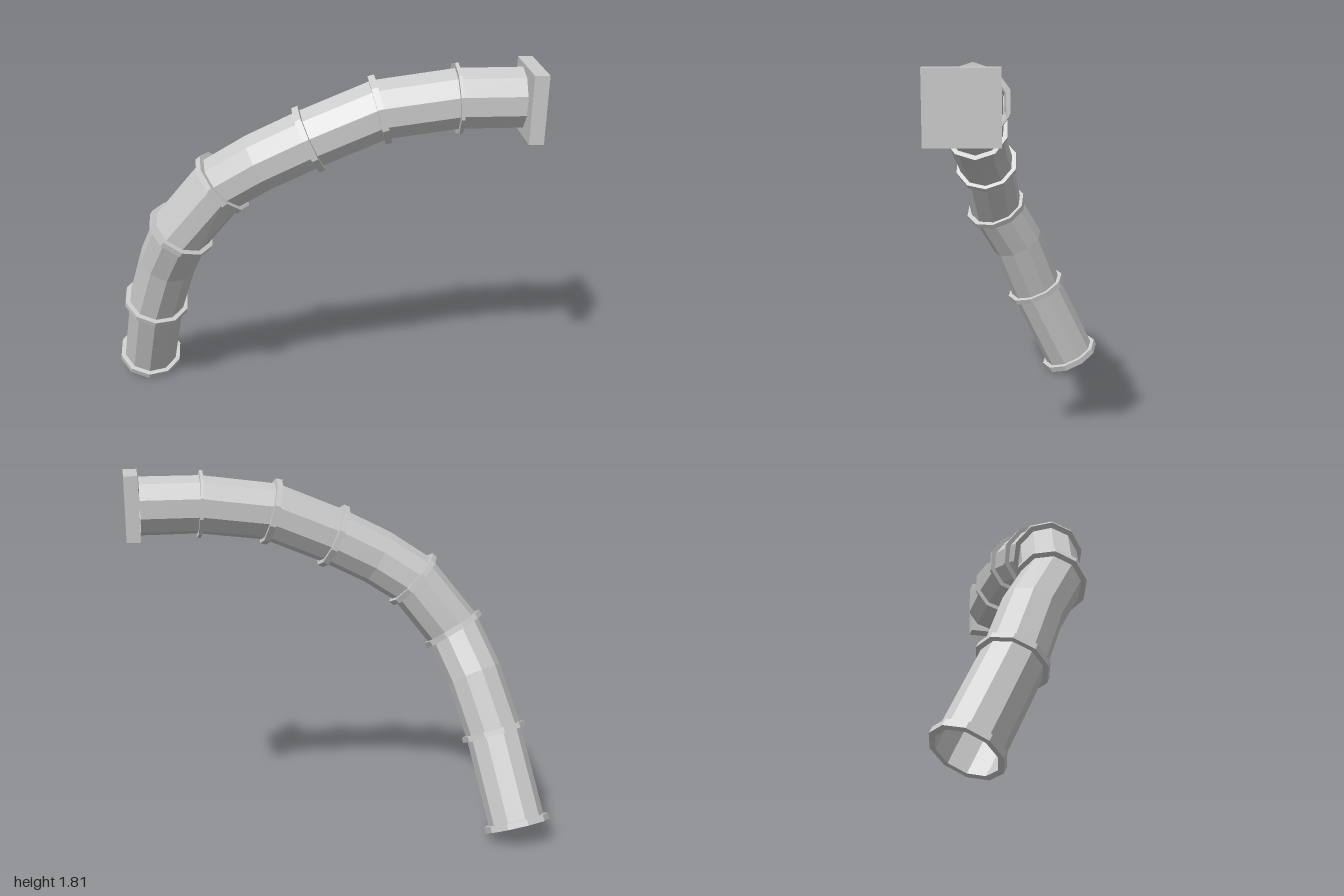
import * as THREE from 'three';

const SIDES = 10;
const PIPE_R = 0.14;

// Path from the mounting plate down to the open mouth: x, y, z, collar thickness (0 = plain bend)
const PATH = [
  [0.93, 1.645, 0.24, 0],
  [0.645, 1.645, 0.24, 0.016],
  [0.30, 1.6, 0.24, 0.03],
  [-0.01, 1.47, 0.24, 0.03],
  [-0.23, 1.36, 0.222, 0],
  [-0.407, 1.245, 0.186, 0.028],
  [-0.61, 0.988, 0.137, 0.028],
  [-0.69, 0.78, 0.02, 0],
  [-0.77, 0.5, -0.087, 0.028],
  [-0.84, 0.08, -0.287, 0.032],
];

// Position and twist-free orientation (local +y along the path) at every path point
function makeFrames() {
  const pts = PATH.map(([x, y, z]) => new THREE.Vector3(x, y, z));
  const dir = (i) => pts[i + 1].clone().sub(pts[i]).normalize();
  const q = new THREE.Quaternion().setFromRotationMatrix(new THREE.Matrix4().makeBasis(
    new THREE.Vector3(0, 0, -1), new THREE.Vector3(-1, 0, 0), new THREE.Vector3(0, 1, 0)));
  const last = pts.length - 1;
  let prev = new THREE.Vector3(-1, 0, 0);
  return pts.map((p, i) => {
    const t = i === 0 ? dir(0) : i === last ? dir(last - 1) : dir(i - 1).add(dir(i)).normalize();
    q.premultiply(new THREE.Quaternion().setFromUnitVectors(prev, t));
    prev = t;
    return { p, q: q.clone() };
  });
}

// Open ten-sided tube skinned over the frames
function pipeGeometry(frames) {
  const pos = [], index = [];
  frames.forEach(({ p, q }, i) => {
    for (let s = 0; s < SIDES; s++) {
      const a = (s / SIDES) * Math.PI * 2;
      const v = new THREE.Vector3(Math.sin(a) * PIPE_R, 0, Math.cos(a) * PIPE_R);
      pos.push(...v.applyQuaternion(q).add(p).toArray());
      if (i < frames.length - 1) {
        const a0 = i * SIDES + s, a1 = i * SIDES + ((s + 1) % SIDES);
        index.push(a0, a1, a0 + SIDES, a1, a1 + SIDES, a0 + SIDES);
      }
    }
  });
  const g = new THREE.BufferGeometry();
  g.setAttribute('position', new THREE.Float32BufferAttribute(pos, 3));
  g.setIndex(index);
  g.computeVertexNormals();
  return g;
}

// Flat-sided collar with a rectangular section
function collarGeometry(thickness) {
  const inner = 0.137, outer = 0.163, h = thickness / 2;
  const profile = [[inner, -h], [outer, -h], [outer, h], [inner, h], [inner, -h]]
    .map(([r, y]) => new THREE.Vector2(r, y));
  return new THREE.LatheGeometry(profile, SIDES);
}

export function createModel() {
  const group = new THREE.Group();
  group.name = 'tubeSlide';
  const mat = new THREE.MeshStandardMaterial({
    color: 0xcccccc, flatShading: true, side: THREE.DoubleSide,
  });
  const add = (name, geometry) => {
    const mesh = new THREE.Mesh(geometry, mat);
    mesh.name = name;
    group.add(mesh);
    return mesh;
  };

  // Tube
  const frames = makeFrames();
  add('tube', pipeGeometry(frames));

  // Collars at the joints and the mouth
  frames.forEach(({ p, q }, i) => {
    const thickness = PATH[i][3];
    if (!thickness) return;
    const collar = add(i === frames.length - 1 ? 'mouthCollar' : 'jointCollar', collarGeometry(thickness));
    collar.position.copy(p);
    collar.quaternion.copy(q);
  });

  // Square plate at the upper end
  add('mountingPlate', new THREE.BoxGeometry(0.066, 0.31, 0.31)).position.set(0.966, 1.645, 0.28);

  return group;
}
